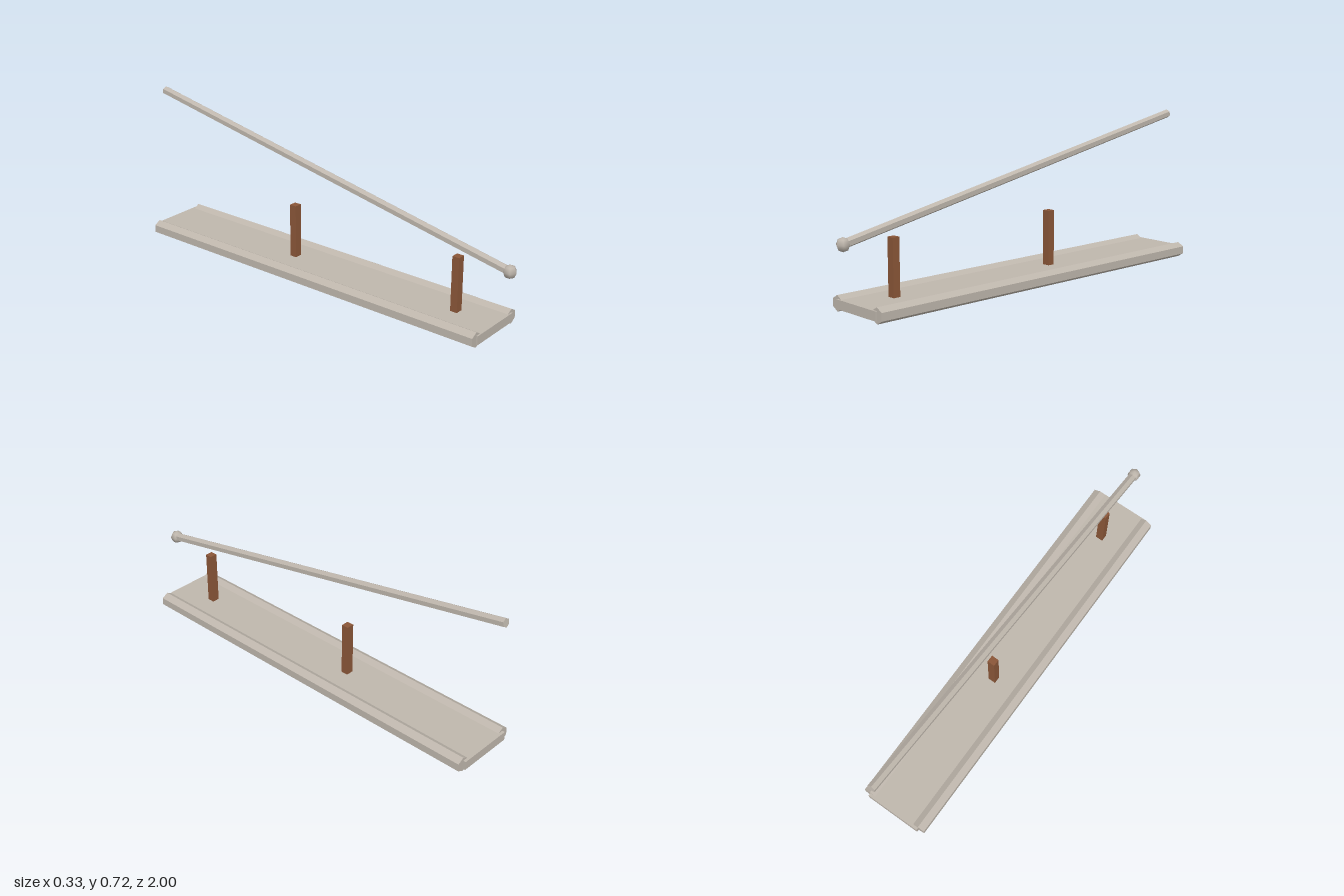
import * as THREE from 'three';

export function createModel() {
  const model = new THREE.Group();
  model.name = 'plankWithHandrail';

  const paleStone = new THREE.MeshStandardMaterial({ color: 0xbeb6ac });
  paleStone.name = 'pale stone';
  // Same colour, faceted for the hexagonal bars
  const brownWood = new THREE.MeshStandardMaterial({ color: 0x8a5638 });
  brownWood.name = 'brown wood';

  function add(name, geometry, material, x, y, z) {
    const mesh = new THREE.Mesh(geometry, material);
    mesh.name = name;
    mesh.position.set(x, y, z);
    model.add(mesh);
    return mesh;
  }

  // Hexagonal bar with hard edges, lying along z with a ridge on top
  function hexBar(radius, length) {
    const bar = new THREE.CylinderGeometry(radius, radius, length, 6).rotateX(Math.PI / 2).toNonIndexed();
    bar.computeVertexNormals();
    return bar;
  }

  // Flat plank
  add('plank', new THREE.BoxGeometry(0.272, 0.042, 1.872), paleStone, 0, 0.034, -0.018);

  // Edge rails along both long sides
  for (const [name, side] of [['leftEdgeRail', 1], ['rightEdgeRail', -1]]) {
    add(name, hexBar(0.0355, 1.852), paleStone, side * 0.136, 0.0355, -0.015);
  }

  // Upright posts
  for (const [name, z] of [['frontPost', 0.72], ['middlePost', -0.172]]) {
    add(name, new THREE.BoxGeometry(0.036, 0.265, 0.034), brownWood, 0, 0.1775, z);
  }

  // Sloping handrail
  const front = new THREE.Vector3(0, 0.313, 0.97);
  const back = new THREE.Vector3(0, 0.697, -0.996);
  const middle = front.clone().add(back).multiplyScalar(0.5);
  const handrail = add('handrail', hexBar(0.0205, front.distanceTo(back)), paleStone, 0, middle.y, middle.z);
  handrail.rotation.x = Math.atan2(back.y - front.y, front.z - back.z);

  // Round knob at the low end
  const knob = new THREE.SphereGeometry(0.031, 6, 4).rotateY(Math.PI / 2);
  add('knob', knob, paleStone, 0, 0.312, 0.97);

  return model;
}
